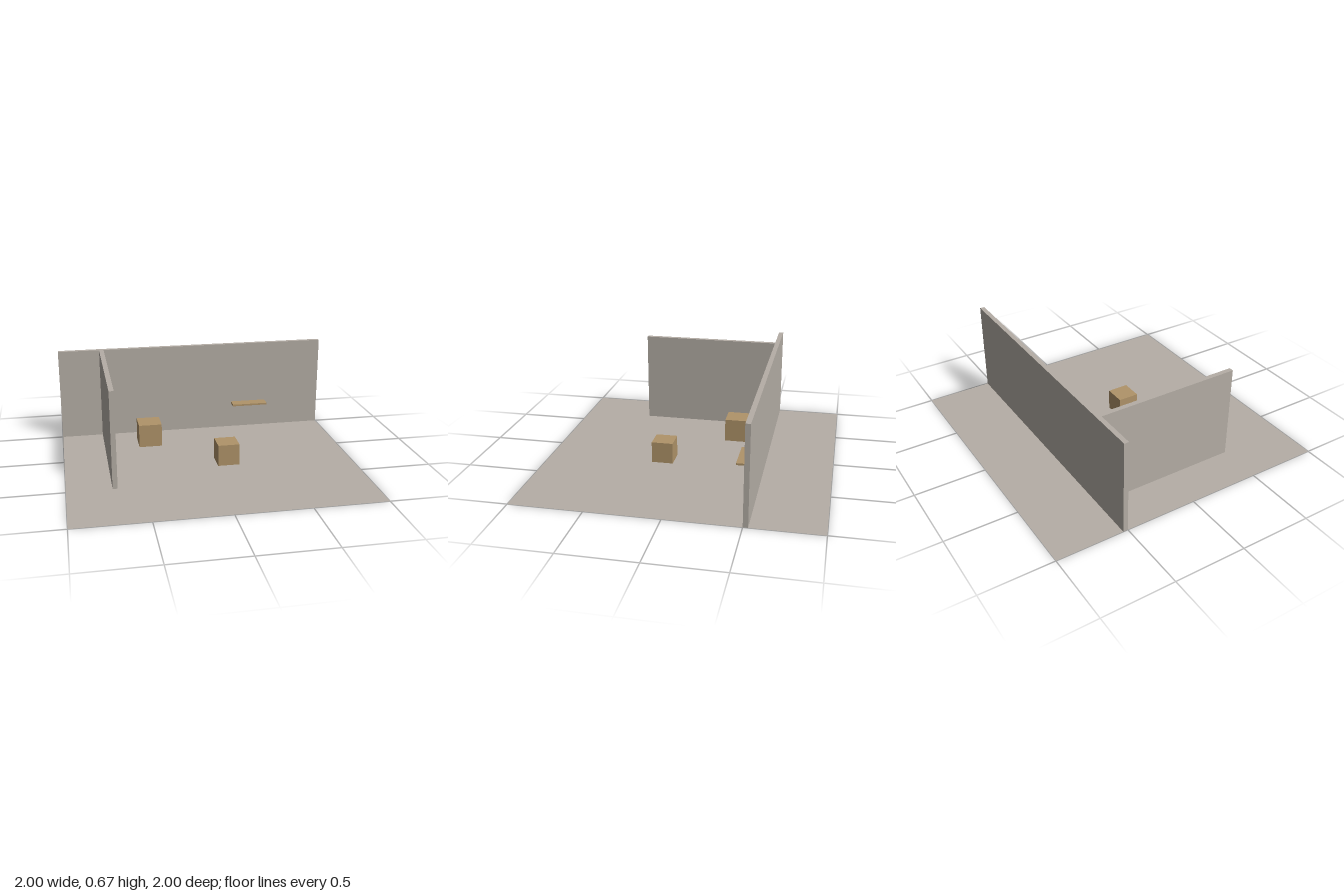
import * as THREE from 'three';

export function createModel() {
  const model = new THREE.Group();
  model.name = 'room';

  const plaster = new THREE.MeshStandardMaterial({ color: 0xb5aea6 });
  plaster.name = 'plaster grey';
  const floorGrey = plaster.clone();
  floorGrey.name = 'floor grey';
  floorGrey.side = THREE.DoubleSide;
  const wood = new THREE.MeshStandardMaterial({ color: 0xb09469 });
  wood.name = 'wood brown';

  // Box given by its size, its centre in x and z, and its bottom height
  function addBox(name, material, [w, h, d], x, bottom, z) {
    const mesh = new THREE.Mesh(new THREE.BoxGeometry(w, h, d), material);
    mesh.name = name;
    mesh.position.set(x, bottom + h / 2, z);
    model.add(mesh);
  }

  // Thin ground sheet
  const floor = new THREE.Mesh(new THREE.PlaneGeometry(2, 2).rotateX(-Math.PI / 2), floorGrey);
  floor.name = 'floor';
  model.add(floor);

  // Walls meeting in a T
  const wallHeight = 0.667, wallThickness = 0.033;
  addBox('backWall', plaster, [2, wallHeight, wallThickness], 0, 0, -0.5167);
  addBox('sideWall', plaster, [wallThickness, wallHeight, 1], -0.6833, 0, 0);

  // Crates and the floating shelf
  addBox('largeCrate', wood, [0.167, 0.167, 0.167], -0.3667, 0, -0.27);
  addBox('smallCrate', wood, [0.15, 0.15, 0.15], 0.125, 0, 0.1833);
  addBox('shelf', wood, [0.265, 0.0133, 0.0833], 0.4317, 0.2, -0.4333);

  return model;
}
